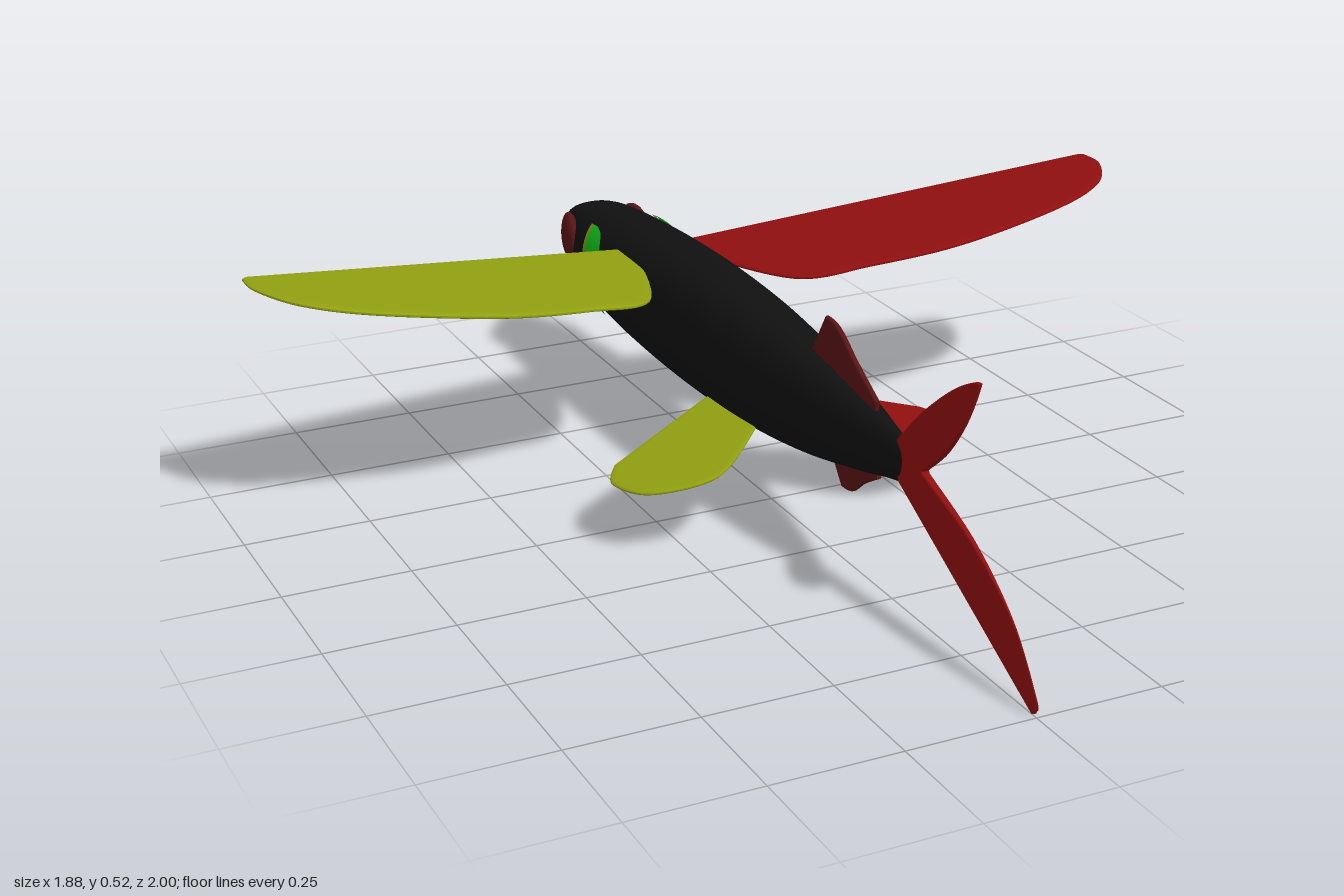
import * as THREE from 'three';

const mat = (name, color, side = THREE.FrontSide) => {
  const m = new THREE.MeshStandardMaterial({ color, side });
  m.name = name;
  return m;
};

// Body profile rows: z, top y, bottom y, half width
const ROWS = [
  [-1, 0.295, 0.293, 0], [-0.993, 0.316, 0.272, 0.02], [-0.975, 0.333, 0.252, 0.037],
  [-0.94, 0.352, 0.232, 0.056], [-0.88, 0.373, 0.208, 0.076], [-0.8, 0.386, 0.185, 0.09],
  [-0.6, 0.402, 0.16, 0.1], [-0.4, 0.411, 0.149, 0.101], [-0.2, 0.411, 0.148, 0.098],
  [0, 0.401, 0.157, 0.09], [0.2, 0.382, 0.178, 0.069], [0.4, 0.352, 0.217, 0.04],
  [0.5, 0.335, 0.241, 0.021], [0.54, 0.327, 0.25, 0.014], [0.555, 0.31, 0.268, 0.005],
];

// Smooth (Hermite) interpolation of the profile at z
function profile(z) {
  let i = 0;
  while (i < ROWS.length - 2 && z > ROWS[i + 1][0]) i++;
  const a = ROWS[i], b = ROWS[i + 1], d = b[0] - a[0];
  const t = THREE.MathUtils.clamp((z - a[0]) / d, 0, 1);
  const slope = (j, c) => {
    const p = ROWS[Math.max(j - 1, 0)], q = ROWS[Math.min(j + 1, ROWS.length - 1)];
    return (q[c] - p[c]) / (q[0] - p[0]);
  };
  return [1, 2, 3].map((c) =>
    (2 * t ** 3 - 3 * t * t + 1) * a[c] + (t ** 3 - 2 * t * t + t) * d * slope(i, c) +
    (3 * t * t - 2 * t ** 3) * b[c] + (t ** 3 - t * t) * d * slope(i + 1, c));
}

// Point on the body skin at z and angle (0 = left side, PI/2 = back), lifted by off
function skin(z, angle, off = 0) {
  const [top, bottom, w] = profile(z);
  const round = (v) => Math.sign(v) * Math.abs(v) ** 0.82;
  return [
    (w + off) * round(Math.cos(angle)),
    (top + bottom) / 2 + ((top - bottom) / 2 + off) * round(Math.sin(angle)), z];
}

// Grid surface from a rule (u, v) -> point
function surface(nu, nv, rule, closed = false) {
  const pos = [], idx = [], cols = closed ? nu : nu + 1;
  for (let j = 0; j <= nv; j++)
    for (let i = 0; i < cols; i++) pos.push(...rule(i / nu, j / nv));
  for (let j = 0; j < nv; j++)
    for (let i = 0; i < nu; i++) {
      const a = j * cols + i, b = j * cols + (i + 1) % cols;
      idx.push(a, b, b + cols, a, b + cols, a + cols);
    }
  const g = new THREE.BufferGeometry();
  g.setAttribute('position', new THREE.Float32BufferAttribute(pos, 3));
  g.setIndex(idx);
  g.computeVertexNormals();
  return g;
}

// Thin fin plate: straight points first, then a smooth curve through the rest
function finPlate(straight, curved, thick, bevel) {
  const s = new THREE.Shape();
  straight.forEach(([x, y], i) => (i ? s.lineTo(x, y) : s.moveTo(x, y)));
  s.splineThru(curved.map(([x, y]) => new THREE.Vector2(x, y)));
  s.closePath();
  return new THREE.ExtrudeGeometry(s, {
    depth: thick * 0.3, bevelThickness: thick * 0.35, bevelSize: bevel,
    bevelOffset: -bevel, bevelSegments: 2, curveSegments: 8,
  }).translate(0, 0, -thick * 0.15);
}

export function createModel() {
  const fish = new THREE.Group();
  fish.name = 'flyingFish';
  const black = mat('bodyBlack', 0x101010);
  const red = mat('finRed', 0x900f0f);
  const olive = mat('finOlive', 0x909f10);
  const maroon = mat('darkRed', 0x581414, THREE.DoubleSide);
  const green = mat('gillGreen', 0x12b818, THREE.DoubleSide);
  const gold = mat('gillEdge', 0x8a8a10, THREE.DoubleSide);
  const purple = mat('mouthPurple', 0x34104a, THREE.DoubleSide);
  const add = (name, geo, material) => {
    const m = new THREE.Mesh(geo, material);
    m.name = name;
    fish.add(m);
    return m;
  };

  // Streamlined body
  add('body', surface(48, 70, (u, v) =>
    skin(-1 + 1.555 * v ** 1.5, u * Math.PI * 2), true), black);

  // Chin patch under the snout
  add('chin', surface(16, 16, (u, v) => {
    const t = 2 * u - 1;
    return skin(-0.918 + 0.06 * Math.sqrt(1 - t * t) * (2 * v - 1), -Math.PI / 2 + t * 0.95, 0.003);
  }), maroon);

  for (const side of [1, -1]) {
    const label = side > 0 ? 'left' : 'right';
    const on = (z, a, off) => {
      const p = skin(z, a, off);
      return [p[0] * side, p[1], p[2]];
    };

    // Gill cover with a narrow front edge
    const back = (t) => -0.685 + 0.065 * Math.sqrt(Math.max(0, 1 - t * t)) - 0.01 * t;
    const front = (t) => -0.712 - 0.008 * t * t;
    add(label + 'Gill', surface(20, 8, (u, v) => {
      const t = 2 * u - 1;
      return on(THREE.MathUtils.lerp(front(t), back(t), v), t * 0.85, 0.006);
    }), green);
    add(label + 'GillEdge', surface(20, 2, (u, v) => {
      const t = 2 * u - 1;
      return on(front(t) - 0.014 * v, t * 0.85, 0.005);
    }), gold);

    // Eye
    const eye = add(label + 'Eye', new THREE.SphereGeometry(1, 28, 20), maroon);
    eye.scale.set(0.018, 0.053, 0.053);
    eye.position.set(side * 0.077, 0.312, -0.848);
    eye.rotation.y = side * 0.2;

    // Mouth line
    add(label + 'Mouth', surface(12, 2, (u, v) =>
      on(-0.99 + 0.095 * u, -0.2 - 0.32 * u + 0.16 * (v - 0.5), 0.003)), purple);

    // Pectoral wing and pelvic fin: flat outlines in x and z, tilted by a slope
    const sideFin = (name, straight, curved, rule, thick, bevel) => {
      const flip = (list) => list.map(([x, z]) => [x * side, -z]);
      const g = finPlate(flip(straight), flip(curved), thick, bevel).rotateX(-Math.PI / 2);
      const p = g.attributes.position;
      for (let i = 0; i < p.count; i++) p.setY(i, p.getY(i) + rule(Math.abs(p.getX(i))));
      g.computeVertexNormals();
      add(label + name, g, side > 0 ? red : olive);
    };
    sideFin('PectoralWing',
      [[0.06, -0.582], [0.09, -0.573], [0.93, -0.365], [0.938, -0.355]],
      [[0.932, -0.285], [0.87, -0.195], [0.74, -0.14], [0.5, -0.12], [0.31, -0.16], [0.16, -0.222], [0.06, -0.5]],
      (x) => 0.347 + 0.158 * x, 0.011, 0.016);
    sideFin('PelvicFin',
      [[0.04, -0.16], [0.09, -0.135], [0.335, 0]],
      [[0.368, 0.065], [0.335, 0.15], [0.24, 0.187], [0.165, 0.16], [0.04, 0.03]],
      (x) => 0.192 - 0.168 * x, 0.009, 0.009);
  }

  // Upright fins: outlines in z and y, tapering in thickness toward the rear
  const midFin = (name, straight, curved, thick, material, taper) => {
    const g = finPlate(straight, curved, thick, 0.004).rotateY(-Math.PI / 2);
    const p = g.attributes.position;
    for (let i = 0; i < p.count; i++)
      p.setX(i, p.getX(i) * Math.max(0.15, 1 - taper * Math.max(0, p.getZ(i) - 0.53)));
    g.computeVertexNormals();
    add(name, g, material);
  };
  midFin('dorsalFin', [[0.43, 0.335], [0.17, 0.365], [0.235, 0.465]],
    [[0.268, 0.458], [0.302, 0.435], [0.35, 0.41], [0.435, 0.365]].map(([z, y], i) =>
      [z, y + [0.004, 0.012, 0.004, 0][i]]), 0.011, maroon, 0);
  midFin('analFin', [[0.44, 0.24], [0.25, 0.22], [0.305, 0.149]],
    [[0.345, 0.154], [0.39, 0.187], [0.445, 0.218]], 0.011, maroon, 0);
  midFin('upperTailLobe', [[0.62, 0.283], [0.51, 0.29], [0.522, 0.328]],
    [[0.6, 0.405], [0.7, 0.483], [0.778, 0.524], [0.782, 0.508], [0.74, 0.43], [0.68, 0.355], [0.612, 0.298]],
    0.02, red, 2);
  midFin('lowerTailLobe', [[0.6, 0.3], [0.51, 0.29], [0.53, 0.246], [0.985, 0.001]],
    [[1, 0.012], [0.997, 0.037], [0.917, 0.142], [0.783, 0.232], [0.623, 0.292]],
    0.02, red, 2);

  return fish;
}
